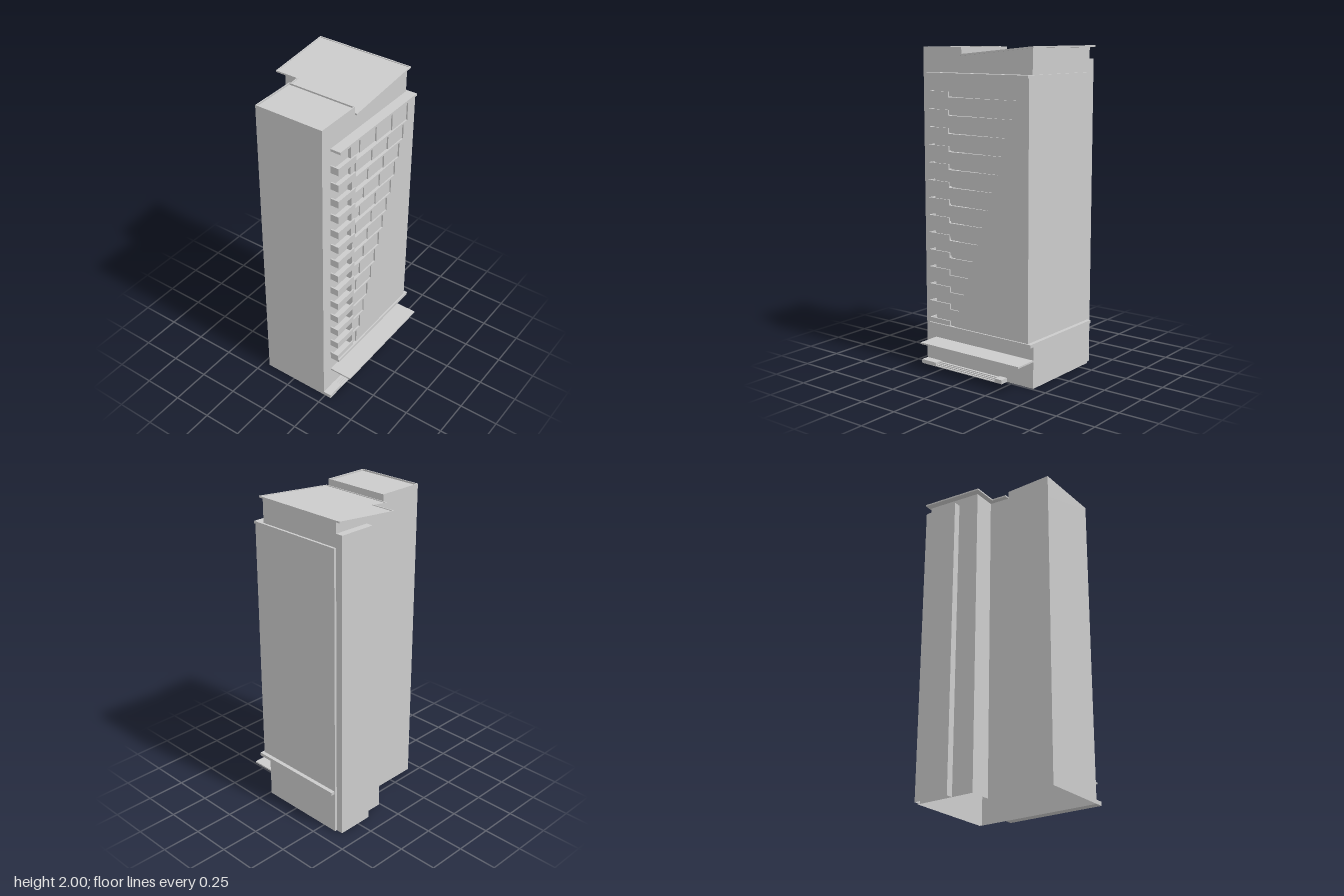
import * as THREE from 'three';

const grey = new THREE.MeshStandardMaterial({ color: 0xcccccc, flatShading: true, side: THREE.DoubleSide });

export function createModel() {
  const model = new THREE.Group();

  function add(name, geometry, parent = model) {
    const mesh = new THREE.Mesh(geometry, grey);
    mesh.name = name;
    parent.add(mesh);
    return mesh;
  }
  function group(name) {
    const g = new THREE.Group();
    g.name = name;
    model.add(g);
    return g;
  }
  // Box given by its limits on each axis
  function box(name, x0, x1, y0, y1, z0, z1, parent) {
    const g = new THREE.BoxGeometry(x1 - x0, y1 - y0, z1 - z0);
    g.translate((x0 + x1) / 2, (y0 + y1) / 2, (z0 + z1) / 2);
    return add(name, g, parent);
  }
  // Upright walls along a closed [x, z] outline, open at both ends; top may follow z
  function walls(name, outline, y0, topAt) {
    const pos = [];
    outline.forEach(([ax, az], i) => {
      const [bx, bz] = outline[(i + 1) % outline.length];
      const a = [ax, y0, az], b = [bx, y0, bz];
      const c = [bx, topAt(bz), bz], d = [ax, topAt(az), az];
      pos.push(...a, ...b, ...c, ...a, ...c, ...d);
    });
    const g = new THREE.BufferGeometry();
    g.setAttribute('position', new THREE.Float32BufferAttribute(pos, 3));
    g.computeVertexNormals();
    return add(name, g);
  }
  // Flat plate from an [x, z] outline, with an optional hole
  function plate(outline, y, thickness, hole) {
    const toV = ([x, z]) => new THREE.Vector2(x, -z);
    const shape = new THREE.Shape(outline.map(toV));
    if (hole) shape.holes.push(new THREE.Path(hole.map(toV)));
    const g = new THREE.ExtrudeGeometry(shape, { depth: thickness, bevelEnabled: false });
    return g.rotateX(-Math.PI / 2).translate(0, y, 0);
  }

  const L = -0.205, WING = -0.345, R = 0.24, FRONT = 0.43, BACK = -0.39;
  const SPLIT = 0.13, NOTCH = -0.01, REAR = -0.405;
  const slope = z => 1.95 + (SPLIT - z) * 0.05 / (SPLIT - REAR);

  // Main tower shaft, hollow and open below
  walls('towerWalls', [[L, FRONT], [R, FRONT], [R, BACK], [WING, BACK], [WING, NOTCH], [L, NOTCH]], 0, () => 1.84);

  // Taller front block with a thin parapet
  const frontOutline = [[L, FRONT], [R, FRONT], [R, SPLIT], [L, SPLIT]];
  const e = 0.006;
  walls('frontBlockWalls', frontOutline, 1.84, () => 1.98);
  add('frontBlockParapet', plate(frontOutline, 1.98, 0.01,
    [[L + e, FRONT - e], [R - e, FRONT - e], [R - e, SPLIT + e], [L + e, SPLIT + e]]));
  add('frontBlockRoof', plate(frontOutline, 1.975, 0.005));

  // Penthouse under the sloping roof
  walls('penthouseWalls', [[L, SPLIT], [R, SPLIT], [R, BACK], [WING, BACK], [WING, NOTCH], [L, NOTCH]],
    1.84, z => slope(z) - 0.008);

  // Sloping roof plate with a raised rim
  const roofOutline = [[-0.235, SPLIT], [0.255, SPLIT], [0.255, REAR], [-0.385, REAR], [-0.385, 0.025], [-0.235, 0.025]];
  const r = 0.008;
  const roofInner = [[-0.235 + r, SPLIT - r], [0.255 - r, SPLIT - r], [0.255 - r, REAR + r],
    [-0.385 + r, REAR + r], [-0.385 + r, 0.025 - r], [-0.235 + r, 0.025 - r]];
  function tilt(g) {
    const p = g.attributes.position;
    for (let i = 0; i < p.count; i++) p.setY(i, p.getY(i) + slope(p.getZ(i)));
    g.computeVertexNormals();
    return g;
  }
  add('penthouseRoof', tilt(plate(roofOutline, -0.01, 0.006)));
  add('penthouseRoofRim', tilt(plate(roofOutline, -0.004, 0.004, roofInner)));

  // Narrow pier on the left side
  walls('sidePier', [[WING, -0.155], [WING, BACK], [-0.39, BACK], [-0.39, -0.155]], 0, () => 1.92);
  box('sidePierTop', -0.39, WING, 1.915, 1.92, BACK, -0.155);

  // Rear cladding above the ledge and rear wall of the base
  box('rearCladding', WING, 0.295, 0.28, 1.84, REAR, BACK);
  walls('rearBaseWall', [[WING, BACK], [R, BACK], [R, REAR], [WING, REAR]], 0, () => 0.28);

  // Side facade: a solid screen cut back in steps, one per storey
  const ROWS = 14, PITCH = 0.1085, FLOOR = 0.28, FACE = 0.295, BAY = 0.19;
  const floorY = i => FLOOR + i * PITCH;
  const endZ = i => 0.155 - i * 0.0373;
  const stairs = [[REAR, FLOOR]];
  for (let i = 0; i < ROWS; i++) {
    const top = i === ROWS - 1 ? 1.83 : floorY(i + 1);
    stairs.push([endZ(i), floorY(i)], [endZ(i), top]);
  }
  stairs.push([REAR, 1.83]);
  const screen = new THREE.ExtrudeGeometry(
    new THREE.Shape(stairs.map(([z, y]) => new THREE.Vector2(-z, y))),
    { depth: FACE - R, bevelEnabled: false });
  add('steppedScreen', screen.rotateY(Math.PI / 2).translate(R, 0, 0));

  // Storeys: floor slab, balcony upstand and bays stepping outwards to the rear
  const storeys = group('balconyStoreys');
  for (let i = 0; i < ROWS; i++) {
    const y = floorY(i), top = i === ROWS - 1 ? 1.83 : floorY(i + 1) - 0.006;
    if (i > 0) box('floorSlab', R, FACE, y - 0.006, y + 0.006, endZ(i), 0.355, storeys);
    box('balconyRail', 0.286, FACE, y, y + 0.04, BAY, 0.355, storeys);
    box('balconyEndRail', R, 0.286, y, y + 0.04, 0.346, 0.355, storeys);
    let z = endZ(i);
    for (let k = 0; z < BAY - 0.001; k++) {
      const next = Math.min(z + 0.148, BAY);
      box('windowBay', R, 0.286 - k * 0.009, y, top, z, next, storeys);
      z = next;
    }
  }

  // Ledges wrapping the facade, and the entrance canopy
  box('topLedge', R, 0.305, 1.825, 1.84, REAR, 0.355);
  box('lowerSideLedge', R, 0.305, 0.27, 0.29, REAR, 0.355);
  box('lowerRearLedge', -0.34, 0.305, 0.27, 0.29, -0.43, REAR);
  box('canopy', R, 0.388, 0.165, 0.175, REAR, 0.355);

  // Entrance steps between two low plinths
  const entrance = group('entranceSteps');
  box('frontPlinth', R, 0.293, 0, 0.025, 0.315, FRONT, entrance);
  box('rearPlinth', R, 0.293, 0, 0.025, -0.21, -0.155, entrance);
  for (let i = 0; i < 4; i++) {
    box('step', R, 0.293 - i * 0.012, i * 0.005, (i + 1) * 0.005, -0.155, 0.315, entrance);
  }

  return model;
}
